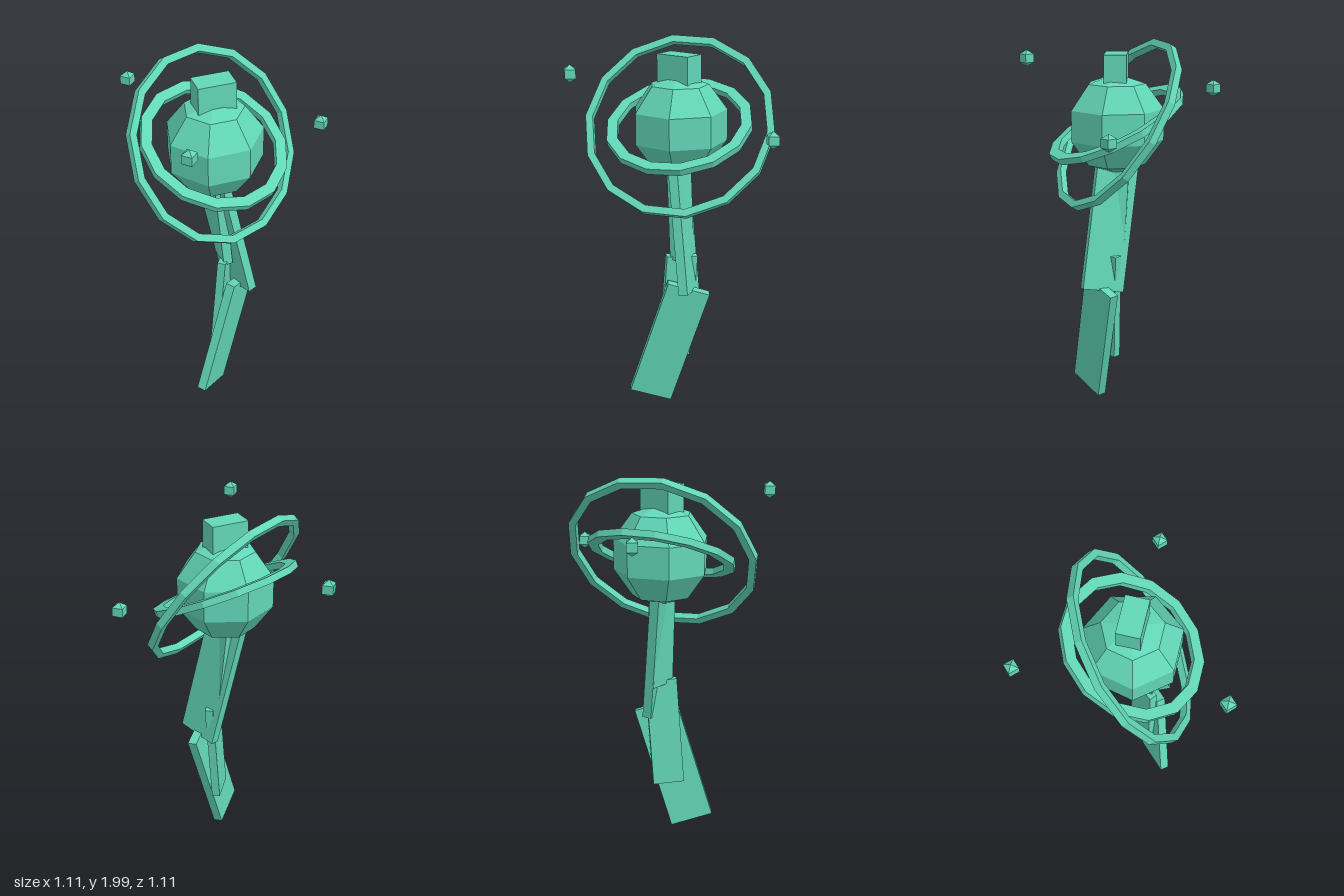
import * as THREE from 'three';

const CORE = new THREE.Vector3(-0.08, 1.565, 0);

export function createModel() {
  const model = new THREE.Group();
  const material = new THREE.MeshStandardMaterial({ color: 0x62d6b8, flatShading: true });

  const add = (name, geometry, position) => {
    const mesh = new THREE.Mesh(geometry, material);
    mesh.name = name;
    mesh.position.copy(position);
    model.add(mesh);
    return mesh;
  };

  // Flat board running from one joint to another, its broad side along `across`
  const board = (name, from, to, across, width, thickness) => {
    const a = new THREE.Vector3(...from), b = new THREE.Vector3(...to);
    const y = b.clone().sub(a), length = y.length();
    y.normalize();
    const z = new THREE.Vector3(...across).cross(y).normalize();
    const x = y.clone().cross(z);
    const mesh = add(name, new THREE.BoxGeometry(width, length, thickness), a.add(b).multiplyScalar(0.5));
    mesh.quaternion.setFromRotationMatrix(new THREE.Matrix4().makeBasis(x, y, z));
  };

  // Fourteen-sided hoop of rectangular section, lying in the local XY plane
  const hoop = (name, radius, width, depth, phase, tiltX, tiltZ) => {
    const corners = (r) => Array.from({ length: 14 }, (_, i) => {
      const t = phase + (i / 14) * Math.PI * 2;
      return new THREE.Vector2(r * Math.cos(t), r * Math.sin(t));
    });
    const shape = new THREE.Shape(corners(radius));
    shape.holes.push(new THREE.Path(corners(radius - width).reverse()));
    const geometry = new THREE.ExtrudeGeometry(shape, { depth, bevelEnabled: false });
    geometry.translate(0, 0, -depth / 2);
    add(name, geometry, CORE).rotation.set(tiltX, 0, tiltZ, 'ZYX');
  };

  // Faceted round body with a block on top
  add('body', new THREE.SphereGeometry(0.268, 7, 5).rotateY(-Math.PI / 2), CORE);
  add('topBlock', new THREE.BoxGeometry(0.2, 0.24, 0.12), new THREE.Vector3(-0.08, 1.82, 0));

  // Tilted hoops around the body
  hoop('innerRing', 0.393, 0.058, 0.036, 0, -1.14, -0.18);
  hoop('outerRing', 0.513, 0.04, 0.04, Math.PI / 14, -0.707, -0.588);

  // Small floating satellites
  for (const p of [[-0.375, 1.88, 0.515], [0.51, 1.565, 0], [-0.38, 1.72, -0.52]]) {
    add('satellite', new THREE.SphereGeometry(0.046, 4, 3), new THREE.Vector3(...p));
  }

  // Standing leg, long and broad
  board('leftUpperLeg', [0.036, 0.67, 0.07], [-0.1, 1.4, -0.01], [0.35, 0.17, 0.94], 0.23, 0.05);
  board('leftLowerLeg', [-0.168, 0.045, 0.158], [0.037, 0.695, 0.074], [0.71, -0.29, -0.65], 0.235, 0.05);

  // Raised leg, shorter and narrower
  board('rightUpperLeg', [-0.04, 0.84, 0.03], [-0.085, 1.4, 0], [0, 0, 1], 0.15, 0.05);
  board('rightLowerLeg', [-0.08, 0.27, 0.058], [-0.03, 0.86, 0.048], [0.107, 0, -0.13], 0.17, 0.045);

  return model;
}
